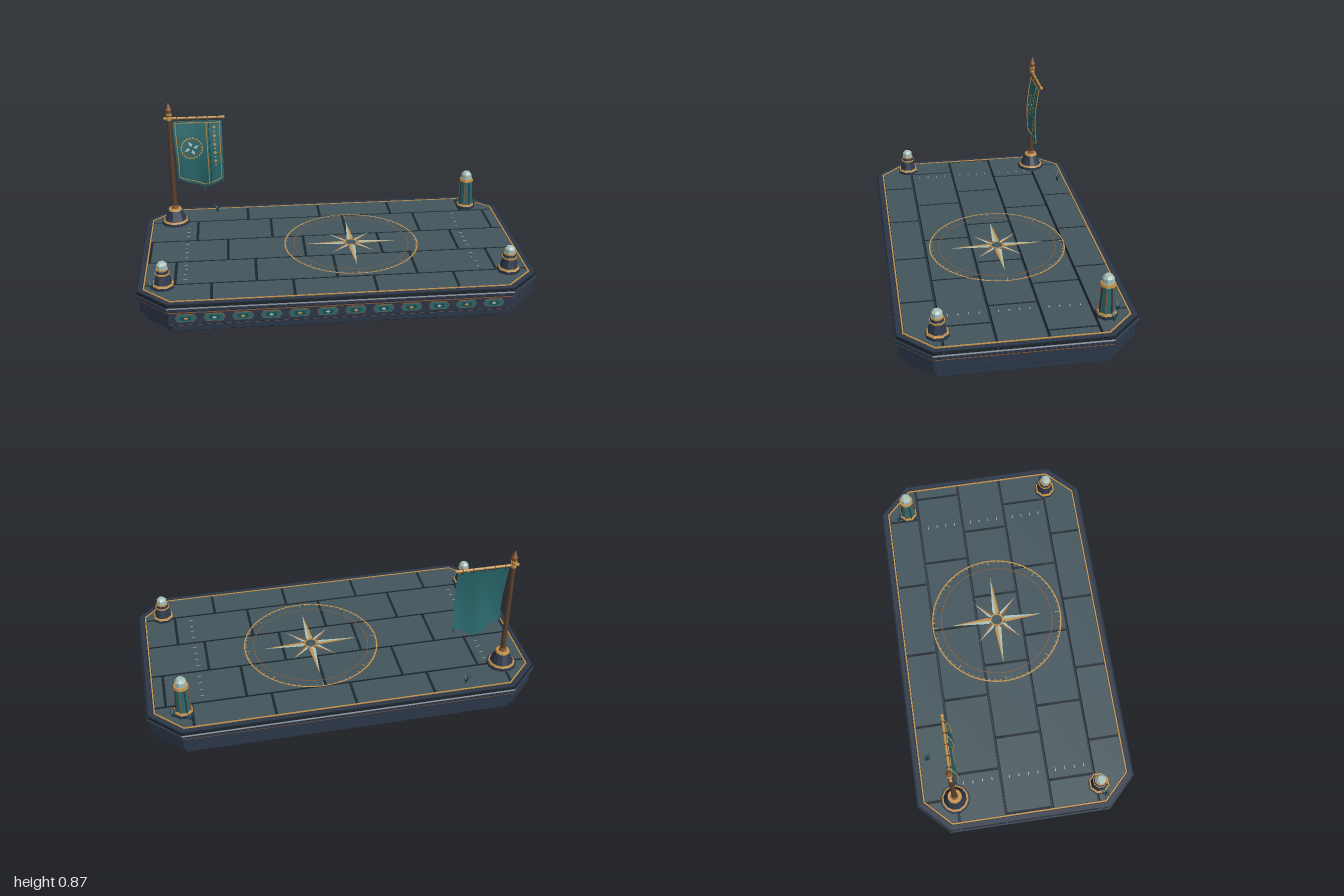
import * as THREE from 'three';

const mat = (name, color, side = THREE.FrontSide) => {
  const m = new THREE.MeshStandardMaterial({ color, side });
  m.name = name;
  return m;
};

export function createModel() {
  const root = new THREE.Group();
  root.name = 'plazaPlatform';
  const stone = mat('deckStone', 0x43555c), navy = mat('slateNavy', 0x2c3749), dark = mat('darkJoint', 0x1c262e);
  const teal = mat('teal', 0x2a686c, THREE.DoubleSide), deep = mat('deepTeal', 0x1b4a52, THREE.DoubleSide);
  const copper = mat('copper', 0x8a5a36), gold = mat('gold', 0xc4924c, THREE.DoubleSide);
  const jade = mat('paleJade', 0xa9c2ba, THREE.DoubleSide), wood = mat('poleBrown', 0x59402f);

  const add = (name, geo, material, parent = root, x = 0, y = 0, z = 0) => {
    const m = new THREE.Mesh(geo, material);
    m.name = name;
    m.position.set(x, y, z);
    parent.add(m);
    return m;
  };
  const group = (name, x = 0, y = 0, z = 0) => {
    const g = new THREE.Group();
    g.name = name;
    g.position.set(x, y, z);
    root.add(g);
    return g;
  };
  const toShape = (pts) => new THREE.Shape(pts.map(([x, y]) => new THREE.Vector2(x, y)));
  const faceted = (geo) => {
    const g = geo.toNonIndexed();
    g.computeVertexNormals();
    return g;
  };

  // Plan outline with cut corners, in (x, -z), inset from the widest edge
  const outline = (i) => {
    const w = 1 - i, d = 0.571 - i, c = 0.155 - 0.586 * i;
    return [[w, -d + c], [w, d - c], [w - c, d], [-w + c, d], [-w, d - c], [-w, -d + c], [-w + c, -d], [w - c, -d]];
  };
  // Flat prism standing on y0, with an optional bevel
  const slab = (shape, y0, y1, bevel = 0) => {
    const g = new THREE.ExtrudeGeometry(shape, {
      depth: y1 - y0 - 2 * bevel, bevelEnabled: bevel > 0, bevelThickness: bevel,
      bevelSize: bevel, bevelOffset: -bevel, bevelSegments: 1, curveSegments: 48,
    });
    return g.rotateX(-Math.PI / 2).translate(0, y0 + bevel, 0);
  };
  // Keeps the part of a convex polygon between lo and hi on one axis
  const clip = (poly, axis, lo, hi) => {
    for (const [s, lim] of [[1, lo], [-1, -hi]]) {
      const out = [];
      poly.forEach((a, k) => {
        const b = poly[(k + 1) % poly.length];
        const da = s * a[axis] - lim, db = s * b[axis] - lim;
        if (da >= 0) out.push(a);
        if (da * db < 0) {
          const t = da / (da - db);
          out.push([a[0] + t * (b[0] - a[0]), a[1] + t * (b[1] - a[1])]);
        }
      });
      poly = out;
    }
    return poly;
  };

  // Stepped platform
  [['foundation', 0.047, 0, 0.038, 0.004, navy], ['lowerRecess', 0.05, 0.036, 0.054, 0, dark],
    ['lowerTrim', 0.033, 0.04, 0.049, 0, copper], ['body', 0.015, 0.05, 0.12, 0.004, navy],
    ['upperTrim', 0.01, 0.119, 0.128, 0, copper], ['deckSlab', 0, 0.127, 0.151, 0.005, navy]]
    .forEach(([name, inset, y0, y1, bevel, m]) => add(name, slab(toShape(outline(inset)), y0, y1, bevel), m));
  add('underside', slab(toShape(outline(0.052)), -0.0005, 0.001), dark);

  // Paving: five open-jointed courses, each topped by staggered tiles
  const joints = [-0.6, -0.363, -0.121, 0.121, 0.363, 0.6];
  const starts = [-0.63, -0.81, -0.95, -0.71, -0.835];
  starts.forEach((start, r) => {
    const lo = joints[r], hi = joints[r + 1];
    add('course', slab(toShape(clip(outline(0.006), 1, lo + 0.004, hi - 0.004)), 0.15, 0.167), dark);
    const row = clip(outline(0.045), 1, lo + 0.007, hi - 0.007);
    for (let x = start - 0.403; x < 1; x += 0.403) {
      const cell = clip(row, 0, x + 0.007, x + 0.396);
      if (cell.length > 2) add('tile', slab(toShape(cell), 0.166, 0.17), stone);
    }
  });
  const ringShape = (outer, inner) => {
    const s = toShape(outer);
    s.holes.push(new THREE.Path(inner.map(([x, y]) => new THREE.Vector2(x, y))));
    return s;
  };
  add('rim', slab(ringShape(outline(0.01), outline(0.033)), 0.166, 0.169), navy);
  add('rimInlay', slab(ringShape(outline(0.036), outline(0.043)), 0.167, 0.171), gold);

  // Compass inlay
  const compass = group('compass', 0.107, 0.1715, -0.013);
  const flat = (geo) => geo.rotateX(-Math.PI / 2);
  add('outerRing', flat(new THREE.RingGeometry(0.349, 0.356, 96)), gold, compass);
  add('innerRing', flat(new THREE.RingGeometry(0.303, 0.307, 96)), copper, compass);
  for (let k = 0; k < 72; k++) {
    const len = k % 9 ? 0.009 : 0.025;
    const g = flat(new THREE.PlaneGeometry(len, 0.004).translate(0.349 - len / 2, 0, 0));
    add('degreeTick', g.rotateY(k * Math.PI / 36), gold, compass);
  }
  for (let k = 0; k < 8; k++) {
    const len = k % 2 ? 0.16 : 0.255, w = k % 2 ? 0.014 : 0.018;
    for (const s of [1, -1]) {
      const tri = s > 0 ? [[0.03, 0], [len, 0], [0.045, w]] : [[0.03, 0], [0.045, -w], [len, 0]];
      const g = flat(new THREE.ShapeGeometry(toShape(tri))).rotateY(k * Math.PI / 4);
      add('starPoint', g, s > 0 ? jade : (k % 2 ? copper : gold), compass, 0, 0.001, 0);
    }
  }
  add('hub', flat(new THREE.CircleGeometry(0.032, 24)), stone, compass, 0, 0.0015, 0);
  add('hubRing', flat(new THREE.RingGeometry(0.029, 0.038, 24)), gold, compass, 0, 0.002, 0);

  // Short pale marks at both ends of the deck
  for (const x of [-0.76, 0.717])
    for (const row of [-0.242, 0, 0.242])
      for (const o of [-0.075, -0.025, 0.025, 0.075])
        add('deckMark', flat(new THREE.PlaneGeometry(0.018, 0.004)), jade, root, x, 0.1712, row + o);

  // Row of inlaid cartouches on the front
  const lozenge = (w, h) => toShape([[w, 0], [w - h * 0.6, h], [-w + h * 0.6, h], [-w, 0], [-w + h * 0.6, -h], [w - h * 0.6, -h]]);
  const plate = (shape, depth) => new THREE.ExtrudeGeometry(shape, { depth, bevelEnabled: false });
  for (let k = 0; k < 12; k++) {
    const c = group('cartouche', -0.755 + k * 0.1365, 0.09, 0.555);
    add('frame', plate(lozenge(0.052, 0.021), 0.004), copper, c);
    add('panel', plate(lozenge(0.048, 0.018), 0.006), teal, c);
    add('recess', plate(lozenge(0.027, 0.01), 0.007), deep, c);
    add('gem', plate(toShape([[0.012, 0], [0, 0.007], [-0.012, 0], [0, -0.007]]), 0.009), k % 2 ? jade : gold, c);
  }

  // Stacked faceted drums: [name, bottom y, top y, bottom radius, top radius, material]
  const stack = (parent, layers, sides) => layers.forEach(([name, y0, y1, r0, r1, m]) => {
    const g = new THREE.CylinderGeometry(r1, r0, y1 - y0, sides).rotateY(Math.PI / sides);
    add(name, faceted(g), m, parent, 0, (y0 + y1) / 2, 0);
  });

  // Short corner posts
  for (const x of [-0.866, 0.862]) {
    stack(group('shortPost', x, 0, 0.378), [
      ['foot', 0.165, 0.184, 0.058, 0.058, navy], ['footBand', 0.184, 0.193, 0.056, 0.052, gold],
      ['shaft', 0.193, 0.242, 0.046, 0.032, navy], ['collar', 0.242, 0.25, 0.038, 0.038, gold],
      ['neck', 0.25, 0.265, 0.034, 0.03, navy], ['neckBand', 0.263, 0.27, 0.031, 0.031, gold],
      ['cap', 0.27, 0.292, 0.027, 0.027, jade], ['capTop', 0.292, 0.304, 0.027, 0.016, jade]], 8);
  }

  // Tall corner post with teal sides and copper ribs
  const tall = group('tallPost', 0.818, 0, -0.418);
  stack(tall, [
    ['foot', 0.165, 0.184, 0.054, 0.054, navy], ['footBand', 0.184, 0.194, 0.049, 0.046, gold],
    ['shaft', 0.194, 0.332, 0.039, 0.031, teal], ['collar', 0.332, 0.346, 0.039, 0.037, gold],
    ['cap', 0.346, 0.372, 0.029, 0.029, jade], ['capTop', 0.372, 0.386, 0.029, 0.018, jade]], 8);
  for (let k = 0; k < 8; k++) {
    const g = new THREE.BoxGeometry(0.006, 0.138, 0.006).rotateX(-0.058).translate(0, 0.263, 0.035);
    add('rib', g.rotateY((k + 0.5) * Math.PI / 4), k % 2 ? copper : navy, tall);
  }

  // Flagpole
  const pole = group('flagpole', -0.835, 0, -0.37);
  stack(pole, [
    ['foot', 0.165, 0.183, 0.078, 0.076, navy], ['footBand', 0.183, 0.191, 0.07, 0.066, gold],
    ['cone', 0.191, 0.246, 0.06, 0.036, navy], ['coneBand', 0.246, 0.256, 0.038, 0.034, gold],
    ['shaft', 0.25, 0.8, 0.014, 0.011, wood], ['lowerSleeve', 0.256, 0.272, 0.02, 0.017, copper],
    ['upperSleeve', 0.77, 0.79, 0.014, 0.014, gold], ['finialBand', 0.797, 0.806, 0.015, 0.015, gold],
    ['finialBase', 0.806, 0.826, 0.01, 0.016, copper], ['finialTip', 0.826, 0.866, 0.016, 0.001, copper]], 12);
  add('crossbar', new THREE.CylinderGeometry(0.0065, 0.0065, 0.31, 8).rotateZ(Math.PI / 2), gold, root, -0.702, 0.78, -0.367);
  for (const x of [-0.857, -0.547]) add('crossbarKnob', new THREE.SphereGeometry(0.009, 8, 6), gold, root, x, 0.78, -0.367);
  for (let k = 0; k < 5; k++)
    add('bannerLoop', new THREE.TorusGeometry(0.012, 0.003, 6, 12).rotateY(Math.PI / 2), wood, root, -0.795 + k * 0.054, 0.773, -0.364);

  // Banner: a billowing sheet; its trimmings follow the same surface
  const sheetZ = (x, y) => {
    const t = (0.765 - y) / 0.39;
    return -0.362 + 0.02 * Math.sin(Math.PI * Math.min(t, 1)) + 0.012 * t * Math.sin((x + 0.815) * 38);
  };
  const sheetPoint = (u, v) => {
    const hem = u < 0.58 ? 0.44 - 0.065 * u / 0.58 : 0.375 + 0.05 * (u - 0.58) / 0.42;
    const x = -0.818 + 0.262 * u + 0.014 * v * (1 - u) * Math.sin(v * 2.5);
    return [x, 0.765 + (hem - 0.765) * v];
  };
  const drape = (geo, lift) => {
    const p = geo.attributes.position;
    for (let i = 0; i < p.count; i++) p.setZ(i, sheetZ(p.getX(i), p.getY(i)) + lift);
    geo.computeVertexNormals();
    return geo;
  };
  const sheet = new THREE.PlaneGeometry(1, 1, 24, 20);
  for (let i = 0, p = sheet.attributes.position; i < p.count; i++) {
    const [x, y] = sheetPoint(p.getX(i) + 0.5, 0.5 - p.getY(i));
    p.setXY(i, x, y);
  }
  add('banner', drape(sheet, 0), teal);
  const trim = (name, f, r, m = gold) => {
    const pts = Array.from({ length: 17 }, (_, i) => {
      const [x, y] = sheetPoint(...f(i / 16));
      return new THREE.Vector3(x, y, sheetZ(x, y) + 0.003);
    });
    add(name, new THREE.TubeGeometry(new THREE.CatmullRomCurve3(pts), 32, r, 5), m);
  };
  for (const u of [0.05, 0.68, 0.95]) trim('verticalStripe', (t) => [u, 0.02 + 0.93 * t], 0.0028);
  trim('hemStripe', (t) => [0.05 + 0.9 * t, 0.95], 0.0025);
  trim('topStripe', (t) => [0.03 + 0.94 * t, 0.03], 0.0025);
  trim('foldLine', (t) => [0.73, 0.03 + 0.92 * t], 0.0022, deep);
  for (let k = 0; k < 10; k++) {
    const [x, y] = sheetPoint(0.84, 0.1 + k * 0.065);
    add('bannerDiamond', drape(new THREE.CircleGeometry(k % 2 ? 0.006 : 0.01, 4).translate(x, y, 0), 0.004), gold);
  }
  const [rx, ry] = [-0.722, 0.615];
  for (let k = 0; k < 20; k++)
    add('rosetteRing', drape(new THREE.RingGeometry(0.053, 0.06, 3, 1, k * Math.PI / 10, 0.24).translate(rx, ry, 0), 0.004), gold);
  add('rosetteInnerRing', drape(new THREE.RingGeometry(0.043, 0.046, 32).translate(rx, ry, 0), 0.004), copper);
  for (let k = 0; k < 4; k++) {
    const petal = new THREE.ShapeGeometry(toShape([[0.008, 0], [0.022, -0.011], [0.042, 0.004], [0.024, 0.008]]));
    add('rosettePetal', drape(petal.rotateZ(k * Math.PI / 2 + 0.3).translate(rx, ry, 0), 0.005), jade);
  }
  for (const u of [0.02, 0.58, 0.98]) {
    const [x, y] = sheetPoint(u, 1);
    add('tassel', new THREE.ConeGeometry(0.005, 0.022, 6), deep, root, x, y - 0.004, sheetZ(x, y));
  }

  // Grass tufts: bent blades fanned round a point
  const tuft = (x, z, size) => {
    const g = group('grassTuft', x, 0.168, z);
    for (let k = 0; k < 7; k++) {
      const h = size * (0.7 + 0.3 * ((k * 3) % 4) / 3), blade = new THREE.PlaneGeometry(0.011, h, 1, 3).translate(0, h / 2, 0);
      const p = blade.attributes.position;
      for (let i = 0; i < p.count; i++) {
        const t = p.getY(i) / h;
        p.setX(i, p.getX(i) * (1 - 0.95 * t));
        p.setZ(i, 0.55 * h * t * t + 0.002);
      }
      blade.computeVertexNormals();
      add('blade', blade.rotateY(k * 0.9), deep, g);
    }
  };
  [[-0.605, -0.487, 0.056], [-0.922, 0.4, 0.055], [0.872, -0.44, 0.05], [0.79, -0.478, 0.045], [0.905, 0.345, 0.035]]
    .forEach((t) => tuft(...t));

  return root;
}
